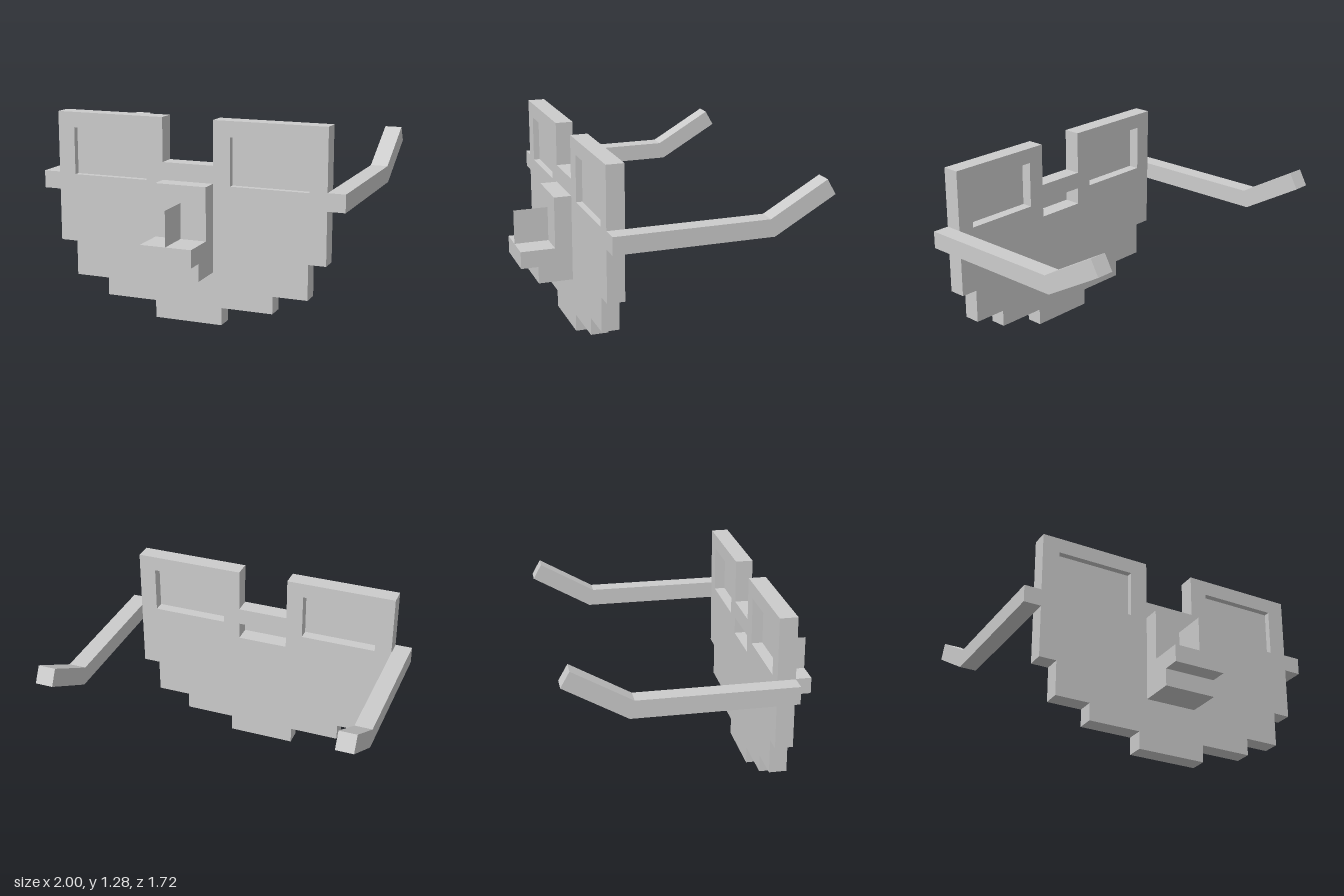
import * as THREE from 'three';

const U = 1 / 9; // grid unit of the blocky design
const FRONT = 0.527, BACK = FRONT - U; // faces of the mask plate

const material = new THREE.MeshStandardMaterial({ color: 0xcccccc, flatShading: true });
const thinMaterial = new THREE.MeshStandardMaterial({ color: 0xcccccc, flatShading: true, side: THREE.DoubleSide });

const points = (list) => list.map(([a, b]) => new THREE.Vector2(a, b));
const rect = (x0, x1, y0, y1) => new THREE.Path(points([[x0, y0], [x1, y0], [x1, y1], [x0, y1]]));

// Extrudes a side profile given as [z, y] points across a width centred on x
function sideExtrude(name, profile, width, x) {
  const geometry = new THREE.ExtrudeGeometry(new THREE.Shape(points(profile)), { depth: width, bevelEnabled: false });
  geometry.rotateY(-Math.PI / 2);
  geometry.translate(x + width / 2, 0, 0);
  const mesh = new THREE.Mesh(geometry, material);
  mesh.name = name;
  return mesh;
}

export function createModel() {
  const model = new THREE.Group();
  model.name = 'mask';

  // Stepped face plate with eye openings and a slot behind the beak
  const half = [
    [2 * U, 0], [2 * U, U], [5 * U, U], [5 * U, 2 * U], [7 * U, 2 * U], [7 * U, 4 * U],
    [8 * U, 4 * U], [8 * U, 11.5 * U], [1.5 * U, 11.5 * U], [1.5 * U, 1],
  ];
  const mirrored = half.map(([x, y]) => [-x, y]).reverse();
  const outline = new THREE.Shape(points([...half, ...mirrored]));
  const eye = { x0: 2.5 * U, x1: 7 * U, y0: 0.88, y1: 1.18 };
  outline.holes.push(
    rect(eye.x0, eye.x1, eye.y0, eye.y1),
    rect(-eye.x1, -eye.x0, eye.y0, eye.y1),
    rect(-1.5 * U, 1.5 * U, 7 * U, 8 * U),
  );
  const plateGeometry = new THREE.ExtrudeGeometry(outline, { depth: U, bevelEnabled: false });
  plateGeometry.translate(0, 0, BACK);
  const plate = new THREE.Mesh(plateGeometry, material);
  plate.name = 'facePlate';
  model.add(plate);

  // Beak: upright base with a stepped shelf
  const z1 = FRONT + U, z2 = FRONT + 2 * U, z3 = FRONT + 3 * U;
  model.add(sideExtrude('beak', [
    [FRONT, 3 * U], [z2, 3 * U], [z2, 4 * U], [z3, 4 * U],
    [z3, 5 * U], [z1, 5 * U], [z1, 8 * U], [FRONT, 8 * U],
  ], 3 * U, 0));

  // Thin upright fin on the beak's shelf
  const fin = new THREE.Mesh(new THREE.PlaneGeometry(2 * U, 2 * U), thinMaterial);
  fin.name = 'beakFin';
  fin.rotation.y = Math.PI / 2;
  fin.position.set(0, 6 * U, z2);
  model.add(fin);

  for (const [side, s] of [['left', 1], ['right', -1]]) {
    // Thin lens set inside the eye opening
    const lens = new THREE.Mesh(new THREE.PlaneGeometry(eye.x1 - eye.x0, eye.y1 - eye.y0), thinMaterial);
    lens.name = side + 'Lens';
    lens.position.set(s * (eye.x0 + eye.x1) / 2, (eye.y0 + eye.y1) / 2, 0.487);
    model.add(lens);

    // Temple arm, bent upward at the rear
    model.add(sideExtrude(side + 'Arm', [
      [FRONT, 7 * U], [FRONT, 8 * U], [-0.445, 8 * U],
      [-0.805, 1.097], [-0.86, 1.0], [-0.475, 7 * U],
    ], U, s * 8.5 * U));
  }

  return model;
}
